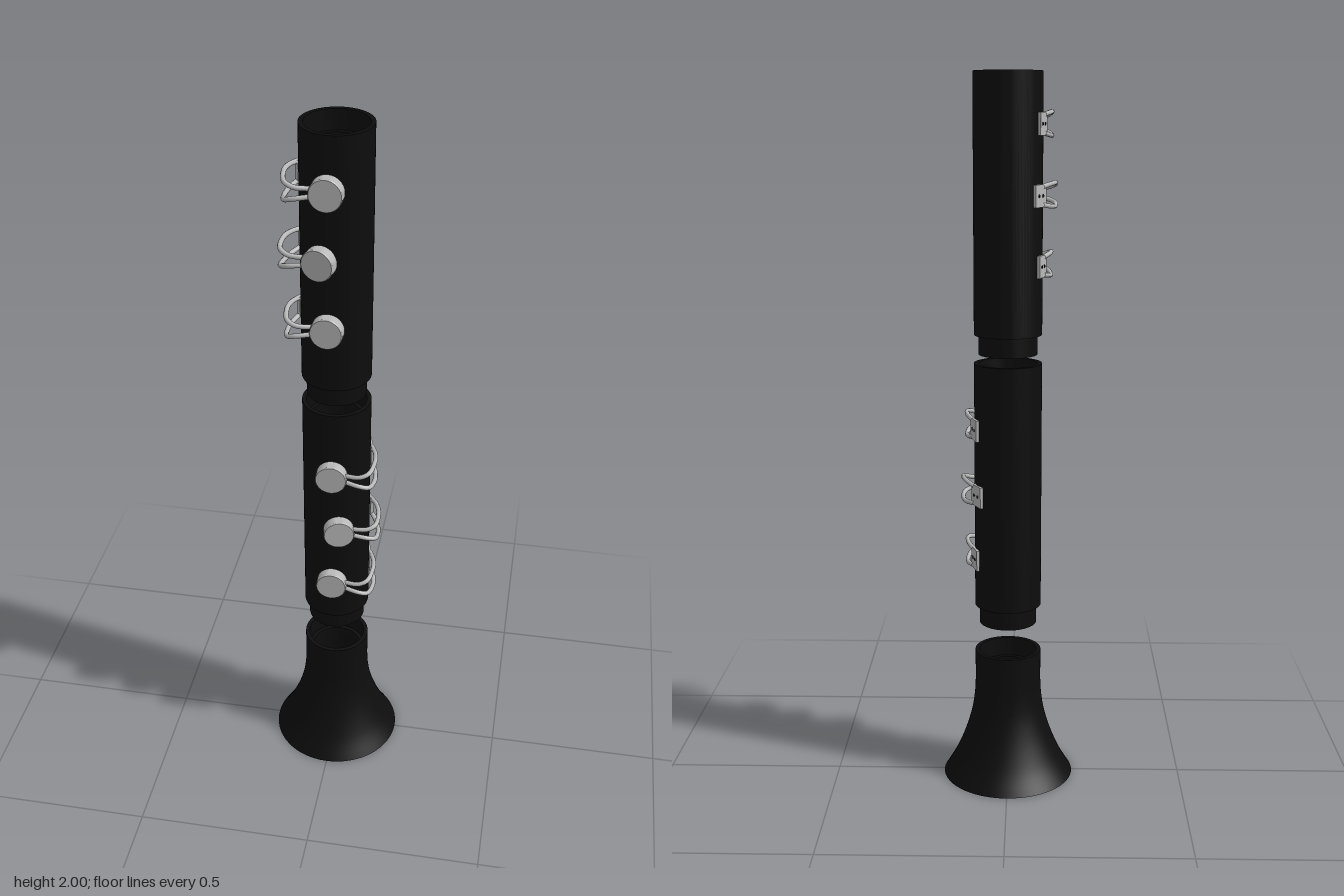
import * as THREE from 'three';
import { toCreasedNormals } from 'three/addons/utils/BufferGeometryUtils.js';

const black = new THREE.MeshStandardMaterial({ color: 0x0d0d0d });
black.name = 'black body';
const silver = new THREE.MeshStandardMaterial({ color: 0xb8b8b8 });
silver.name = 'silver keywork';

function mesh(name, geometry, material) {
  const m = new THREE.Mesh(geometry, material);
  m.name = name;
  return m;
}

// Closed profile [radius, height] spun into a hollow part with crisp rims
function turned(profile, segments = 64) {
  const points = [...profile, profile[0]].map(([r, y]) => new THREE.Vector2(r, y));
  return toCreasedNormals(new THREE.LatheGeometry(points, segments), 0.5);
}

// Tube with a narrow tenon below and a socket above
function joint(name) {
  return mesh(name, turned([
    [0.071, 0], [0.081, 0], [0.081, 0.055], [0.094, 0.055], [0.094, 0.755],
    [0.082, 0.755], [0.082, 0.7], [0.071, 0.7],
  ]), black);
}

// Flared bell, hollow all the way through
function bell() {
  const flare = new THREE.SplineCurve([
    [0.187, 0], [0.157, 0.05], [0.134, 0.1], [0.116, 0.15], [0.103, 0.2], [0.096, 0.25], [0.094, 0.29],
  ].map(([r, y]) => new THREE.Vector2(r, y))).getPoints(24).map(p => [p.x, p.y]);
  const inner = flare.map(([r, y]) => [r - 0.014 - 0.009 * y / 0.29, y]).reverse();
  return mesh('bell', turned([
    ...flare, [0.094, 0.38], [0.082, 0.38], [0.082, 0.325], [0.071, 0.325], ...inner,
  ]), black);
}

// One key: round pad in front, two wire arms and a plate on the side of the tube.
// side is 1 for the left (+x), -1 for the right; angle turns the key round the tube.
function key(side, angle) {
  const g = new THREE.Group();
  g.name = 'key';

  const pad = mesh('pad', turned([
    [0, 0.09], [0.034, 0.09], [0.036, 0.102], [0.043, 0.102], [0.043, 0.13], [0.041, 0.133], [0, 0.133],
  ], 32), silver);
  pad.rotation.x = Math.PI / 2;
  g.add(pad);

  // Arms spread apart as they run from the pad to the plate
  for (const up of [-1, 1]) {
    const path = new THREE.CatmullRomCurve3([
      [0.036, 0.01, 0.118], [0.078, 0.015, 0.128], [0.102, 0.023, 0.119],
      [0.114, 0.031, 0.075], [0.112, 0.03, 0.035], [0.102, 0.026, 0.002], [0.097, 0.024, -0.012],
    ].map(([x, y, z]) => new THREE.Vector3(side * x, up * y, z)));
    g.add(mesh('arm', new THREE.TubeGeometry(path, 40, 0.0065, 10), silver));
  }

  // Mounting plate with two screws
  const mount = new THREE.Group();
  mount.name = 'mount';
  mount.rotation.y = side * THREE.MathUtils.degToRad(104.5);
  const plate = mesh('plate', new THREE.BoxGeometry(0.06, 0.06, 0.008), silver);
  plate.position.z = 0.096;
  mount.add(plate);
  for (const x of [-0.011, 0.011]) {
    const screw = mesh('screw', new THREE.CylinderGeometry(0.0045, 0.0045, 0.003, 12), black);
    screw.rotation.x = Math.PI / 2;
    screw.position.set(x, 0, 0.1);
    mount.add(screw);
  }
  g.add(mount);

  g.rotation.y = side * THREE.MathUtils.degToRad(angle);
  return g;
}

export function createModel() {
  const model = new THREE.Group();
  model.name = 'woodwind';
  model.add(bell());

  // Two equal joints, keys on opposite sides
  for (const [name, base, side] of [['lowerJoint', 0.465, 1], ['upperJoint', 1.245, -1]]) {
    const section = new THREE.Group();
    section.name = name;
    section.position.y = base;
    section.add(joint(name + 'Tube'));
    for (const [y, angle] of [[0.197, 2.5], [0.385, 12.5], [0.572, 2.5]]) {
      const k = key(side, angle);
      k.position.y = y + (side < 0 ? 0.047 : 0);
      section.add(k);
    }
    model.add(section);
  }
  return model;
}
